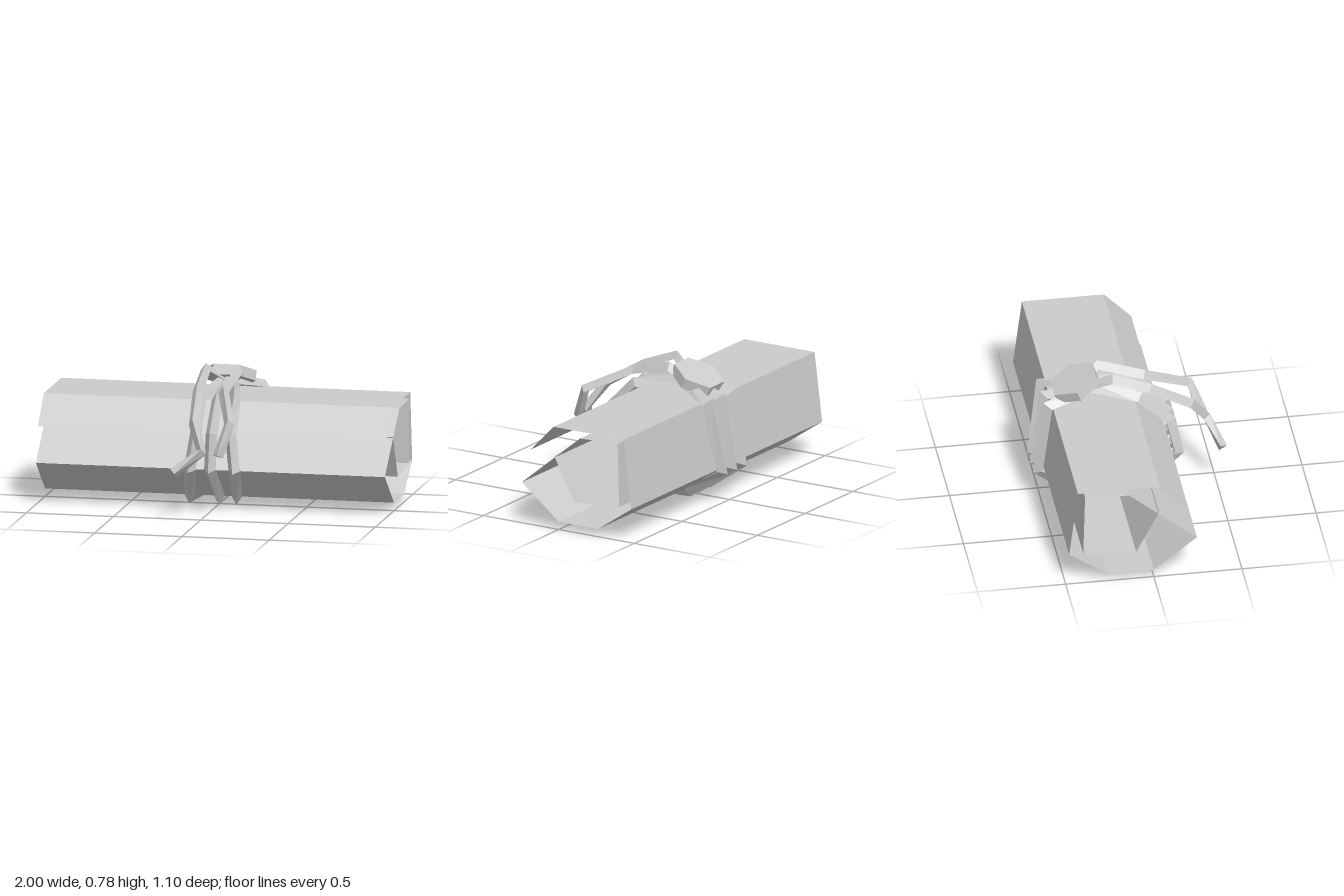
import * as THREE from 'three';

const material = new THREE.MeshStandardMaterial({ color: 0xcccccc, flatShading: true });
const sheetMaterial = new THREE.MeshStandardMaterial({ color: 0xcccccc, flatShading: true, side: THREE.DoubleSide });
const AXIS = { y: 0.33, z: -0.12 }; // middle of the roll

function addMesh(parent, name, geometry, mat = material) {
  const mesh = new THREE.Mesh(geometry, mat);
  mesh.name = name;
  parent.add(mesh);
  return mesh;
}

// Thin sheet: a plane whose rows follow a rolled-up [z, y] profile
function rolledSheet(profile, length) {
  const plane = new THREE.PlaneGeometry(length, 1, 1, profile.length - 1);
  const pos = plane.attributes.position;
  for (let i = 0; i < pos.count; i++) {
    const [z, y] = profile[Math.floor(i / 2)];
    pos.setXYZ(i, pos.getX(i), y, z);
  }
  const geometry = plane.toNonIndexed();
  geometry.computeVertexNormals();
  return geometry;
}

// Three-sided cord: flat base on the path, ridge pointing away from the roll
function cord(points, closed, halfWidth = 0.033, height = 0.055) {
  const path = points.map((p) => new THREE.Vector3(...p));
  const n = path.length;
  const rings = path.map((p, i) => {
    const next = closed ? path[(i + 1) % n] : path[Math.min(i + 1, n - 1)];
    const prev = closed ? path[(i + n - 1) % n] : path[Math.max(i - 1, 0)];
    const tangent = next.clone().sub(prev).normalize();
    const out = new THREE.Vector3(0, p.y - AXIS.y, p.z - AXIS.z);
    out.addScaledVector(tangent, -out.dot(tangent) * (closed ? 0 : 1)).normalize();
    const side = tangent.clone().cross(out).normalize();
    return [
      p.clone().addScaledVector(side, halfWidth),
      p.clone().addScaledVector(out, height),
      p.clone().addScaledVector(side, -halfWidth),
    ];
  });
  const tris = [];
  for (let i = 0; i < (closed ? n : n - 1); i++) {
    const a = rings[i], b = rings[(i + 1) % n];
    for (let j = 0; j < 3; j++) {
      const k = (j + 1) % 3;
      tris.push(a[j], b[j], a[k], a[k], b[j], b[k]);
    }
  }
  if (!closed) {
    const end = rings[n - 1];
    tris.push(...rings[0], end[0], end[2], end[1]);
  }
  const geometry = new THREE.BufferGeometry().setFromPoints(tris);
  geometry.computeVertexNormals();
  return geometry;
}

export function createModel() {
  const model = new THREE.Group();
  model.name = 'tiedScroll';

  // Rolled parchment, from the outer flap inwards
  addMesh(model, 'parchment', rolledSheet([
    [0.19, 0.44], [0.035, 0.6], [-0.43, 0.6], [-0.48, 0.2], [-0.26, 0.05], [0, 0.05],
    [0.245, 0.242], [-0.14, 0.56], [-0.39, 0.57], [-0.4, 0.2], [-0.1, 0.18], [0.03, 0.43],
  ], 2), sheetMaterial);

  // Three wraps around the roll, gathered under the seal
  const section = [
    [0.05, 0.605], [0.215, 0.44], [0.258, 0.245], [0, 0.055],
    [-0.26, 0.055], [-0.493, 0.2], [-0.44, 0.593], [-0.2, 0.65],
  ];
  const wraps = [
    [-0.1, -0.09, -0.115, -0.17, -0.13, -0.11, -0.09, -0.03],
    [0, 0, 0, 0, -0.02, -0.01, 0.03, 0],
    [0.1, 0.11, 0.14, 0.1, 0.07, 0.09, 0.16, 0.04],
  ];
  const binding = new THREE.Group();
  binding.name = 'binding';
  model.add(binding);
  for (const xs of wraps) {
    addMesh(binding, 'cordWrap', cord(section.map(([z, y], i) => [xs[i], y, z]), true));
  }

  // Two loose cord ends hanging over the front
  addMesh(binding, 'rightCordEnd', cord([
    [-0.03, 0.66, -0.22], [-0.1, 0.74, -0.09], [-0.1, 0.66, 0.11],
    [-0.07, 0.52, 0.35], [-0.01, 0.38, 0.44], [-0.155, 0.265, 0.51],
  ], false, 0.03, 0.045));
  addMesh(binding, 'leftCordEnd', cord([
    [0.03, 0.66, -0.23], [0.075, 0.73, -0.15], [0.045, 0.66, 0.1],
    [0.135, 0.53, 0.365], [0.085, 0.355, 0.435],
  ], false, 0.03, 0.045));

  // Six-sided wax seal, tipped towards the back
  const sealShape = new THREE.CylinderGeometry(0.148, 0.148, 0.06, 6).rotateY(Math.PI / 6);
  const seal = addMesh(model, 'waxSeal', sealShape);
  seal.position.set(0, 0.687, -0.287);
  seal.rotation.x = -0.41;

  return model;
}
